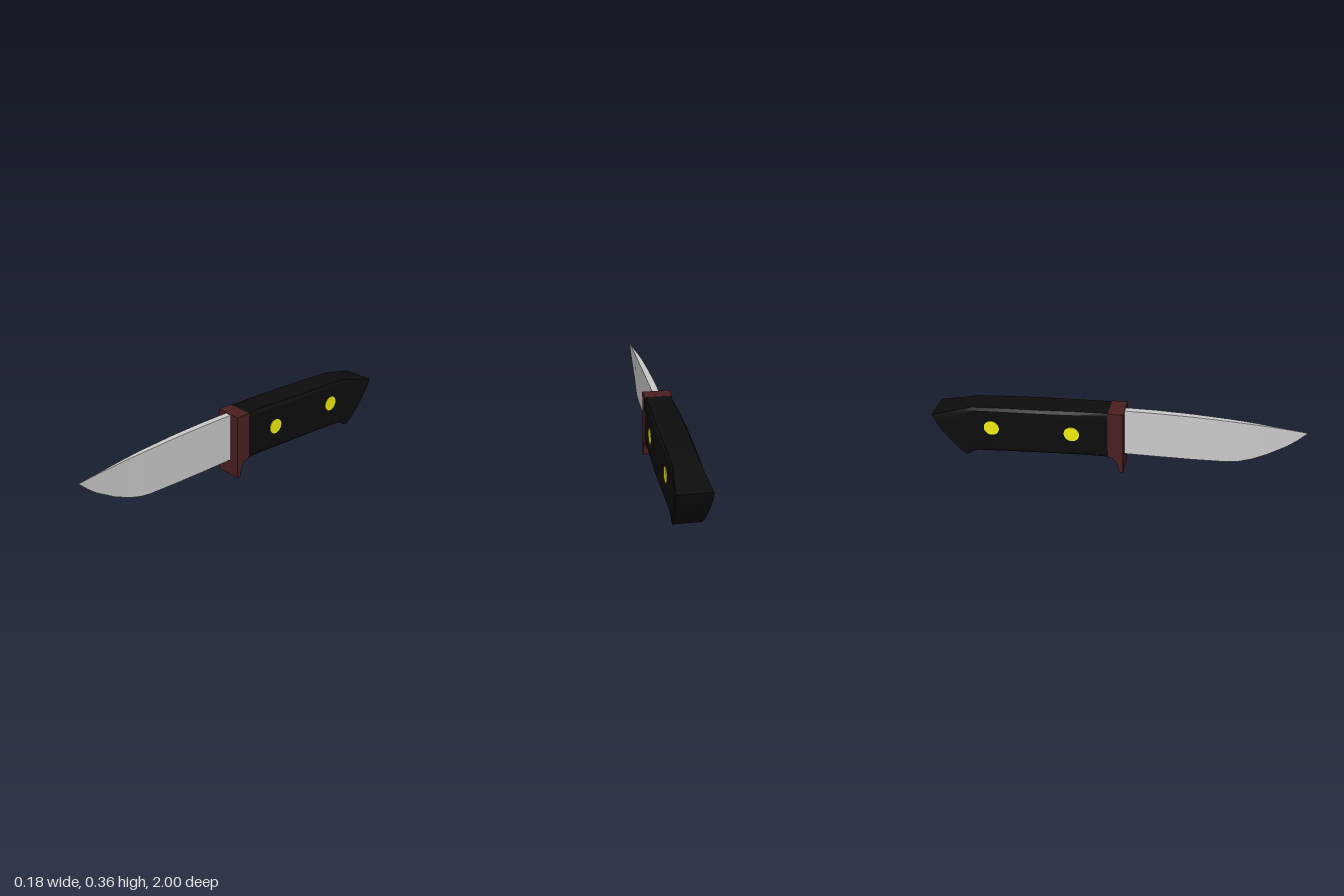
import * as THREE from 'three';
import { toCreasedNormals } from 'three/addons/utils/BufferGeometryUtils.js';

const COLORS = { steel: 0xcccccc, grip: 0x0d0d0d, guard: 0x4b1f1f, rivet: 0xf2ee10 };

function addMesh(group, name, geometry, color) {
  const mesh = new THREE.Mesh(geometry, new THREE.MeshStandardMaterial({ color }));
  mesh.name = name;
  group.add(mesh);
  return mesh;
}

// Piecewise-linear lookup in a list of [key, value], keys ascending
function lookup(table, k) {
  for (let i = 1; i < table.length; i++) {
    const [k0, v0] = table[i - 1], [k1, v1] = table[i];
    if (k <= k1) return THREE.MathUtils.mapLinear(Math.max(k, k0), k0, k1, v0, v1);
  }
  return table[table.length - 1][1];
}

// Mirrored loft: each section lists [halfWidth, y, z] from bottom to top,
// sections run from front (+z) to back
function loft(sections, crease) {
  const n = sections[0].length, pos = [], idx = [];
  for (const s of sections) {
    for (const [x, y, z] of s) pos.push(x, y, z);
    for (const [x, y, z] of [...s].reverse()) pos.push(-x, y, z);
  }
  const m = 2 * n, last = (sections.length - 1) * m;
  for (let i = 0; i < sections.length - 1; i++) {
    for (let j = 0; j < m; j++) {
      const a = i * m + j, b = i * m + (j + 1) % m, c = a + m, d = b + m;
      idx.push(a, c, d, a, d, b);
    }
  }
  // End caps
  for (let j = 0; j < n - 1; j++) {
    const r = j, r2 = j + 1, l = m - 1 - j, l2 = m - 2 - j;
    idx.push(r, r2, l2, r, l2, l);
    idx.push(last + r, last + l2, last + r2, last + r, last + l, last + l2);
  }
  const g = new THREE.BufferGeometry();
  g.setAttribute('position', new THREE.Float32BufferAttribute(pos, 3));
  g.setIndex(idx);
  return toCreasedNormals(g, crease);
}

function bladeGeometry() {
  // z, bottom y, top y, half width at the edge, half width at the spine
  const rows = [
    [1, 0.303, 0.305, 0.0004, 0.0006],
    [0.95, 0.255, 0.311, 0.0005, 0.001],
    [0.9, 0.215, 0.316, 0.0006, 0.002],
    [0.8, 0.155, 0.326, 0.002, 0.006],
    [0.72, 0.12, 0.334, 0.007, 0.009],
    [0.65, 0.1, 0.339, 0.011, 0.0115],
    [0.59, 0.093, 0.343, 0.013, 0.013],
    [0.4, 0.09, 0.352, 0.016, 0.016],
    [0.2, 0.09, 0.356, 0.018, 0.018],
    [0.02, 0.09, 0.355, 0.018, 0.018],
  ];
  return loft(rows.map(([z, y0, y1, w0, w1]) => [[w0, y0, z], [w1, y1, z]]), 0.5);
}

function handleGeometry() {
  const width = [[-1, 0.089], [-0.82, 0.074], [-0.675, 0.0765], [-0.42, 0.082],
    [-0.235, 0.0775], [-0.03, 0.072]];
  // bottom z, bottom y, top z, top y, backward bulge, edge chamfer
  const rows = [
    [-0.03, 0.093, -0.03, 0.36, 0, 0.006],
    [-0.2, 0.09, -0.2, 0.355, 0, 0.01],
    [-0.4, 0.083, -0.4, 0.347, 0, 0.011],
    [-0.6, 0.072, -0.6, 0.338, 0, 0.01],
    [-0.77, 0.06, -0.78, 0.328, 0, 0.008],
    [-0.79, 0.052, -0.83, 0.315, 0.004, 0.006],
    [-0.805, 0.038, -0.9, 0.297, 0.01, 0.004],
    [-0.83, 0.031, -1, 0.272, 0.02, 0.002],
  ];
  const levels = [0, 0.06, 0.2, 0.4, 0.6, 0.8, 0.94, 1];
  return loft(rows.map(([zb, yb, zt, yt, bulge, chamfer]) => levels.map((t) => {
    const z = Math.max(-1, THREE.MathUtils.lerp(zb, zt, t) - bulge * Math.sin(Math.PI * t));
    const inset = t === 0 || t === 1 ? chamfer : 0;
    return [lookup(width, z) - inset, THREE.MathUtils.lerp(yb, yt, t), z];
  })), 0.45);
}

function guardGeometry() {
  // Side profile drawn as (z, y), with a finger stop curving down
  const half = 0.073, s = new THREE.Shape();
  s.moveTo(0.042, 0);
  s.lineTo(0.042, 0.36);
  s.lineTo(-0.04, 0.36);
  s.lineTo(-0.04, 0.093);
  s.bezierCurveTo(0, 0.092, 0.016, 0.06, 0.02, 0.006);
  s.lineTo(0.023, 0);
  const g = new THREE.ExtrudeGeometry(s, { depth: 2 * half, bevelEnabled: false, curveSegments: 12 });
  g.translate(0, 0, -half);
  g.rotateY(-Math.PI / 2);
  return toCreasedNormals(g, 0.5);
}

export function createModel() {
  const knife = new THREE.Group();
  knife.name = 'knife';

  addMesh(knife, 'blade', bladeGeometry(), COLORS.steel);
  addMesh(knife, 'guard', guardGeometry(), COLORS.guard);
  addMesh(knife, 'handle', handleGeometry(), COLORS.grip);

  // Rivets pass through the handle and stand slightly proud on both sides
  for (const [name, y, z, half] of [
    ['frontRivet', 0.22, -0.235, 0.0802],
    ['rearRivet', 0.215, -0.675, 0.0792],
  ]) {
    const g = new THREE.CylinderGeometry(0.042, 0.042, 2 * half, 32);
    g.rotateZ(Math.PI / 2);
    addMesh(knife, name, g, COLORS.rivet).position.set(0, y, z);
  }
  return knife;
}
